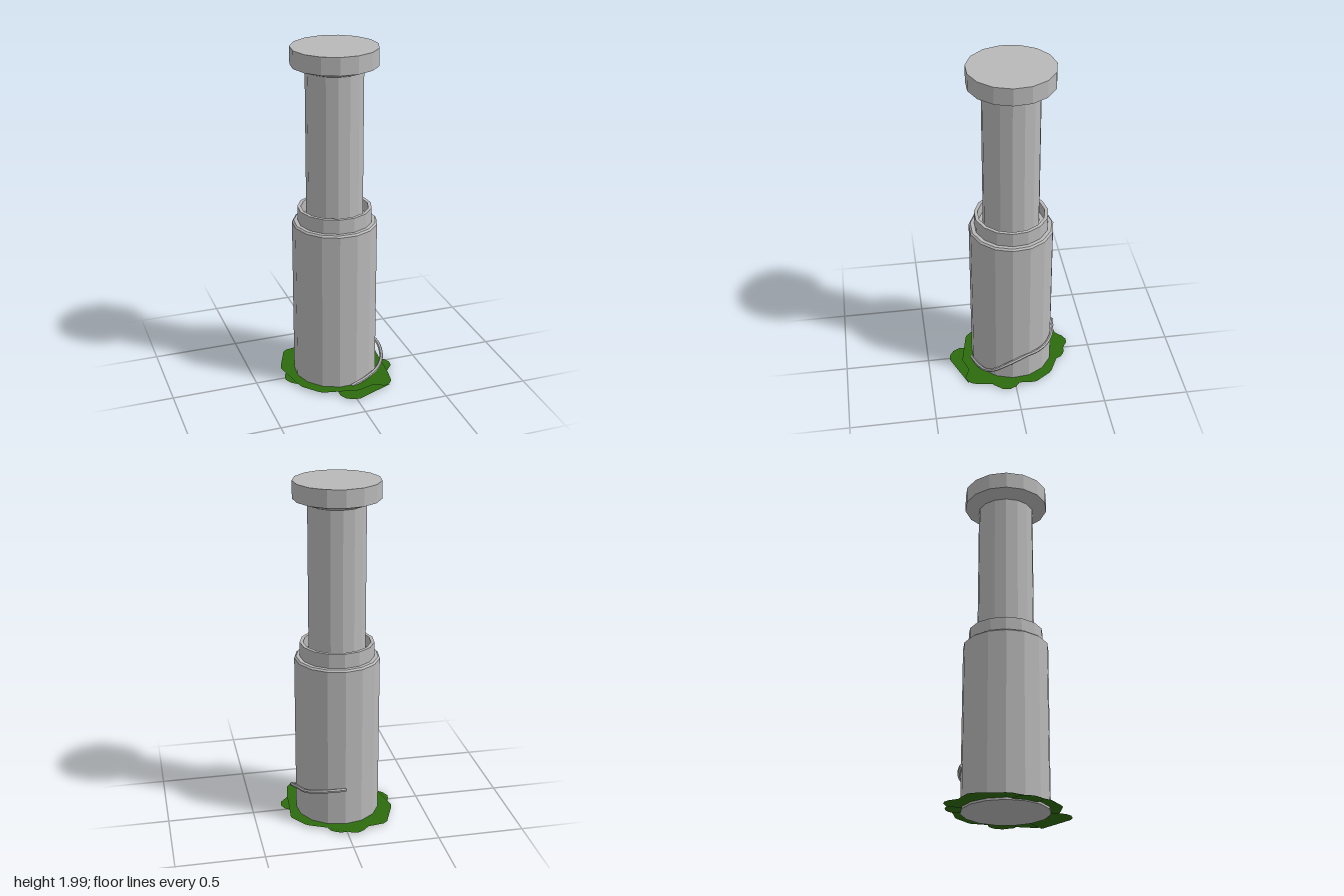
import * as THREE from 'three';

const stone = new THREE.MeshStandardMaterial({ color: 0xb8b8b8, flatShading: true });
stone.name = 'grey stone';
const moss = new THREE.MeshStandardMaterial({ color: 0x2d6c0f, side: THREE.DoubleSide });
moss.name = 'green leaves';

const CX = -0.005, CZ = -0.015; // axis of the column

// Fifteen-sided turned part with a corner at the back
function turned(name, profile) {
  const points = profile.map(([r, y]) => new THREE.Vector2(r, y));
  const geometry = new THREE.LatheGeometry(points, 15).rotateY(Math.PI);
  const mesh = new THREE.Mesh(geometry, stone);
  mesh.name = name;
  mesh.position.set(CX, 0, CZ);
  return mesh;
}

// Flat patch from an [x, z] outline
function leaf(name, y, outline) {
  const shape = new THREE.Shape(outline.map(([x, z]) => new THREE.Vector2(x, z)));
  const mesh = new THREE.Mesh(new THREE.ShapeGeometry(shape).rotateX(Math.PI / 2), moss);
  mesh.name = name;
  mesh.position.y = y;
  return mesh;
}

export function createModel() {
  const model = new THREE.Group();
  model.name = 'column';

  // Column parts
  model.add(turned('base', [[0, 0.008], [0.245, 0.008], [0.245, 0.975], [0.235, 0.985], [0, 0.985]]));
  model.add(turned('collar', [[0.213, 0.98], [0.213, 1.07], [0.193, 1.07], [0.193, 1.0], [0, 1.0]]));
  model.add(turned('shaft', [[0.163, 0.99], [0.163, 1.875]]));
  model.add(turned('capital', [[0, 1.87], [0.163, 1.87], [0.245, 1.9], [0.245, 2], [0, 2]]));

  // Root winding up the left side
  const path = new THREE.CatmullRomCurve3([
    [0.015, 0.018, 0.232], [0.12, 0.04, 0.202], [0.2, 0.068, 0.165], [0.242, 0.105, 0.12],
    [0.256, 0.146, 0.05], [0.243, 0.172, -0.03], [0.23, 0.186, -0.08], [0.217, 0.2, -0.14],
    [0.185, 0.217, -0.195], [0.13, 0.232, -0.235], [0.06, 0.24, -0.255], [-0.008, 0.245, -0.264],
  ].map((p) => new THREE.Vector3(...p)));
  const root = new THREE.Group();
  root.name = 'windingRoot';
  const tube = new THREE.Mesh(new THREE.TubeGeometry(path, 32, 0.011, 6), stone);
  tube.name = 'rootStem';
  root.add(tube);
  for (const t of [0, 1]) {
    const end = new THREE.Mesh(new THREE.CircleGeometry(0.011, 6), stone);
    end.name = 'rootEnd';
    const p = path.getPointAt(t);
    end.position.copy(p);
    end.lookAt(p.clone().addScaledVector(path.getTangentAt(t), t ? 1 : -1));
    root.add(end);
  }
  model.add(root);

  // Broad leaf patch around the foot
  model.add(leaf('leafPatch', 0.02, [
    [-0.225, -0.3], [-0.13, -0.315], [-0.09, -0.355], [-0.06, -0.37], [-0.03, -0.368], [0, -0.35],
    [0.1, -0.285], [0.205, -0.235], [0.225, -0.22], [0.285, -0.135], [0.293, -0.115], [0.285, -0.02],
    [0.275, 0.135], [0.257, 0.25], [0.235, 0.28], [0.2, 0.295], [0.13, 0.265], [0.04, 0.295],
    [-0.17, 0.25], [-0.19, 0.235], [-0.265, 0.15], [-0.28, 0.1], [-0.31, -0.04], [-0.322, -0.09],
    [-0.315, -0.12], [-0.25, -0.28],
  ]));

  // Smaller leaves tucked under it
  model.add(leaf('frontLeaf', 0.012, [
    [-0.075, 0.2], [-0.08, 0.3], [-0.06, 0.34], [-0.02, 0.365], [0.02, 0.368], [0.235, 0.28], [0.13, 0.15],
  ]));
  model.add(leaf('leftLeaf', 0.014, [
    [0.22, -0.04], [0.285, -0.02], [0.31, 0], [0.328, 0.04], [0.322, 0.08], [0.275, 0.135], [0.2, 0.12],
  ]));
  model.add(leaf('rightLeaf', 0.014, [
    [-0.2, 0.08], [-0.28, 0.1], [-0.31, 0.075], [-0.33, 0.03], [-0.325, 0], [-0.31, -0.04], [-0.25, -0.07],
  ]));
  model.add(leaf('backLeaf', 0.014, [
    [-0.02, -0.24], [0, -0.34], [0.03, -0.342], [0.06, -0.333], [0.09, -0.31], [0.1, -0.285], [0.09, -0.22],
  ]));

  return model;
}
